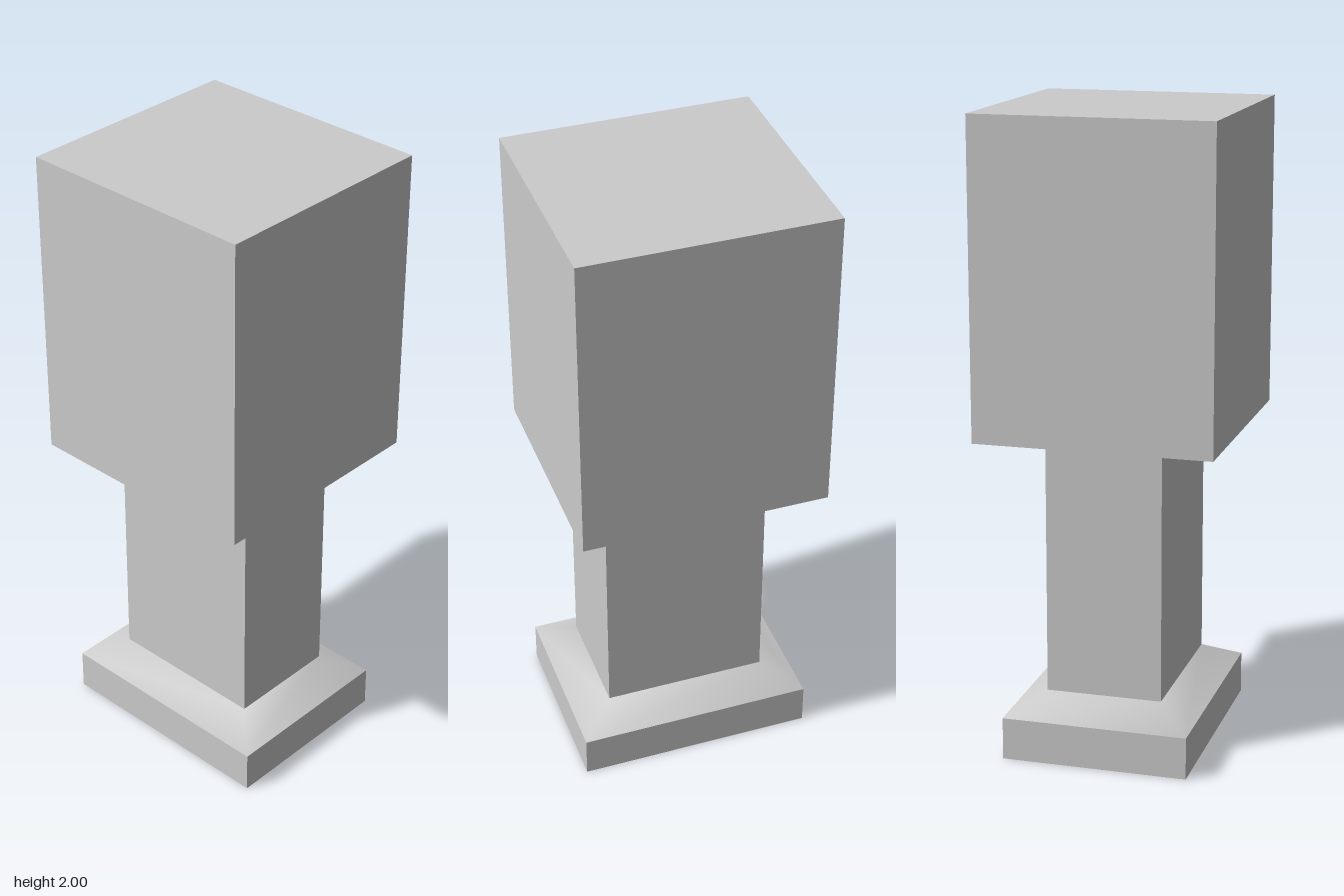
import * as THREE from 'three';

const material = new THREE.MeshStandardMaterial({ color: 0xcccccc, side: THREE.DoubleSide });

// Rectangular cross-section: height, x range, z range
const rect = (y, x0, x1, z0, z1) => [[x0, y, z1], [x1, y, z1], [x1, y, z0], [x0, y, z0]];

// Four-sided band joining two cross-sections, open at both ends
function band(name, lower, upper, smooth = false) {
  const index = [];
  for (let i = 0; i < 4; i++) {
    const j = (i + 1) % 4;
    index.push(i, j, j + 4, i, j + 4, i + 4);
  }
  let geometry = new THREE.BufferGeometry();
  geometry.setAttribute('position', new THREE.Float32BufferAttribute([...lower, ...upper].flat(), 3));
  geometry.setIndex(index);
  if (!smooth) geometry = geometry.toNonIndexed();
  geometry.computeVertexNormals();
  const mesh = new THREE.Mesh(geometry, material);
  mesh.name = name;
  return mesh;
}

export function createModel() {
  const group = new THREE.Group();
  group.name = 'pillar';

  const baseAt = (y) => rect(y, -0.38, 0.377, -0.292, 0.295);
  const postAt = (y) => rect(y, -0.263, 0.262, -0.182, 0.185);
  const headAt = (y) => rect(y, -0.39, 0.39, -0.373, 0.373);

  // Hollow base, open underneath, with a softly shaded slope up to the post
  group.add(band('baseWalls', baseAt(0), baseAt(0.134)));
  group.add(band('baseSlope', baseAt(0.134), postAt(0.196), true));

  // Hollow post
  group.add(band('post', postAt(0.196), postAt(1.013)));

  // Head block: underside ring, walls and lid
  group.add(band('headUnderside', postAt(1.013), headAt(1.013)));
  group.add(band('headWalls', headAt(1.013), headAt(2)));
  const lid = new THREE.Mesh(new THREE.PlaneGeometry(0.78, 0.746).rotateX(-Math.PI / 2), material);
  lid.position.y = 2;
  lid.name = 'headTop';
  group.add(lid);

  return group;
}
